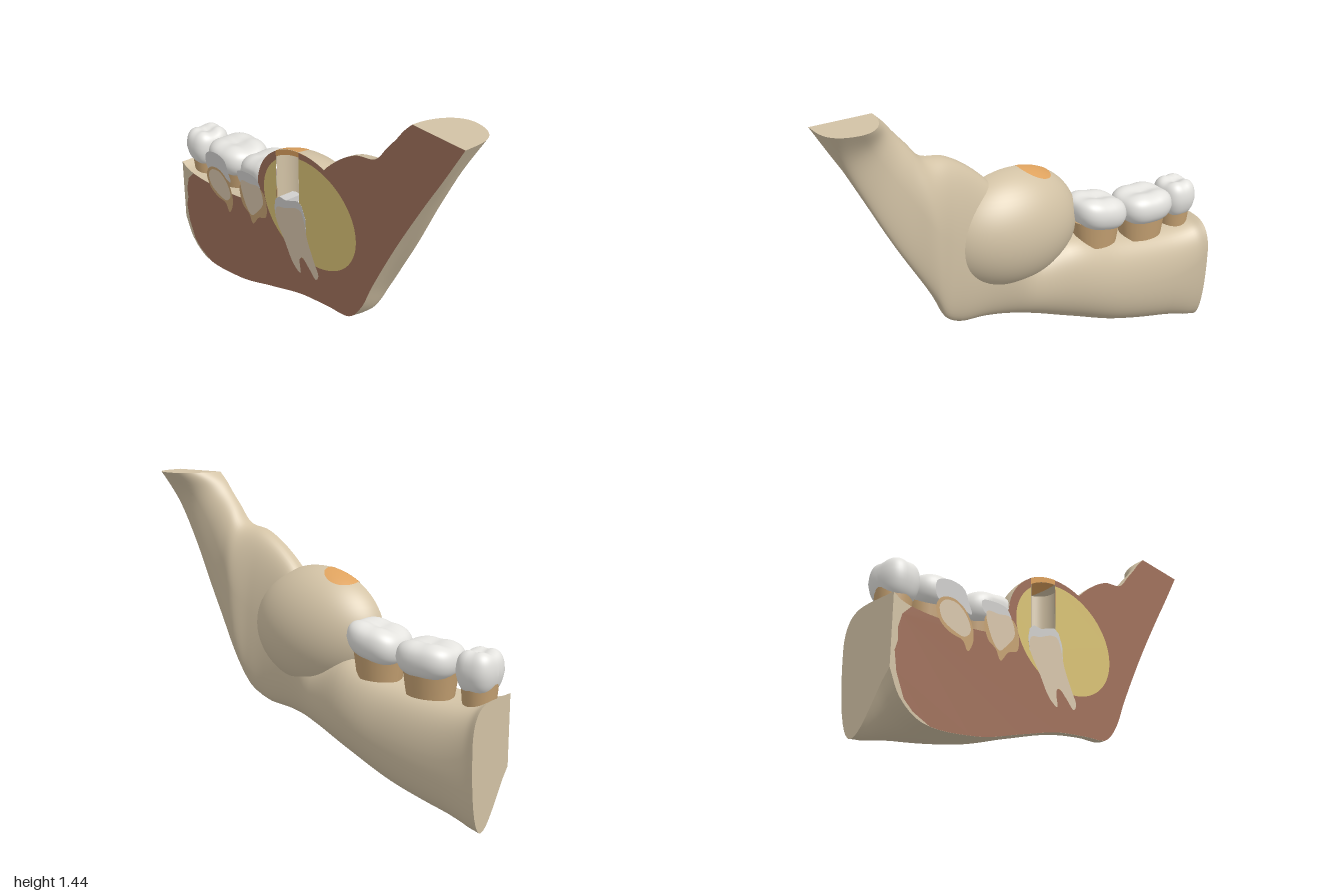
import * as THREE from 'three';

const mat = (name, color, side = THREE.FrontSide) => {
  const m = new THREE.MeshStandardMaterial({ color, side });
  m.name = name;
  return m;
};
const CUT = 0.147; // plane of the section

export function createModel() {
  const group = new THREE.Group();
  const bone = mat('bone', 0xd2c2a5, THREE.DoubleSide);
  const marrow = mat('cut bone', 0xa0715c);
  const cyst = mat('cyst yellow', 0xdac376);
  const enamel = mat('enamel', 0xe4e3df);
  const cutEnamel = mat('cut enamel', 0xd0cfcd);
  const dentin = mat('dentin', 0xd8c6ac);
  const root = mat('root tan', 0xc6a273);
  const plug = mat('orange window', 0xdea25e, THREE.DoubleSide);

  const add = (name, geo, m, x = 0, y = 0, z = 0) => {
    const mesh = new THREE.Mesh(geo, m);
    mesh.name = name;
    mesh.position.set(x, y, z);
    group.add(mesh);
    return mesh;
  };
  const polygon = (pts) => new THREE.Shape(pts.map((p) => new THREE.Vector2(p[0], p[1])));
  const plate = (name, pts, m, z) => add(name, new THREE.ShapeGeometry(polygon(pts)), m, 0, 0, z);
  const smoothPlate = (name, pts, m, z) => {
    const c = new THREE.CatmullRomCurve3(pts.map((p) => new THREE.Vector3(p[0], p[1], 0)), true);
    return plate(name, c.getPoints(pts.length * 5).map((p) => [p.x, p.y]), m, z);
  };

  // Jaw bone: D-shaped sections; lower x, y, upper x, y, back z, lower overhang
  const stations = [
    [-1, 0.25, -1, 0.58, -0.15, 0.29],
    [-0.94, 0.14, -0.94, 0.555, -0.14, 0.18],
    [-0.82, 0.07, -0.8, 0.55, -0.13, 0.08],
    [-0.5, 0.1, -0.5, 0.585, -0.115, 0.03],
    [-0.25, 0.18, -0.24, 0.65, -0.1, 0.01],
    [0, 0.26, -0.03, 0.62, -0.035, 0],
    [0.2, 0.295, 0.12, 0.95, 0.01, 0],
    [0.35, 0.32, 0.24, 1.08, 0.02, 0.02],
    [0.43, 0.41, 0.38, 1.17, 0.01, 0.08],
    [0.5, 0.56, 0.5, 1.2, -0.01, 0.1],
    [0.64, 0.83, 0.57, 1.28, 0.02, 0.1],
    [0.79, 1.09, 0.63, 1.35, 0.035, 0.05],
    [0.9, 1.27, 0.665, 1.395, 0.015, 0.02],
    [1, 1.44, 0.71, 1.44, -0.06, 0],
  ];
  const curve = (f) => new THREE.CatmullRomCurve3(stations.map((s) => new THREE.Vector3(...f(s))));
  const N = 78, M = 36;
  const lower = curve((s) => [s[0], s[1], s[4]]).getPoints(N);
  const upper = curve((s) => [s[2], s[3], s[5]]).getPoints(N);
  const pos = [], idx = [];
  for (let i = 0; i <= N; i++) {
    const L = lower[i], U = upper[i];
    const mx = (L.x + U.x) / 2, my = (L.y + U.y) / 2;
    const dx = L.x - mx, dy = L.y - my, half = Math.hypot(dx, dy);
    // Squarer ridge under the teeth, squarer rear edge up the ramus
    const lowExp = THREE.MathUtils.lerp(0.8, 0.5, i / N), topExp = THREE.MathUtils.lerp(0.32, 1, i / N);
    for (let j = 0; j <= M; j++) {
      const t = (j / M) * Math.PI, isLow = t < Math.PI / 2;
      const k = Math.cos(t) + (isLow ? (U.z * Math.sin(2 * t)) / half : 0);
      const depth = (CUT - L.z) * Math.pow(Math.max(0, Math.sin(t)), isLow ? lowExp : topExp);
      pos.push(mx + dx * k, my + dy * k, CUT - depth);
      if (i < N && j < M) {
        const a = i * (M + 1) + j, b = a + M + 1;
        idx.push(a, a + 1, b, b, a + 1, b + 1);
      }
    }
  }
  const surface = (p, index) => {
    const g = new THREE.BufferGeometry();
    g.setAttribute('position', new THREE.Float32BufferAttribute(p, 3));
    g.setIndex(index);
    g.computeVertexNormals();
    return g;
  };
  add('jawBone', surface(pos, idx), bone);
  // Flat ends of the bone, fanned from the middle of the section
  for (const [name, i, flip] of [['frontEnd', 0, true], ['ramusTop', N, false]]) {
    const ring = pos.slice(i * (M + 1) * 3, (i + 1) * (M + 1) * 3), fan = [];
    ring.push((lower[i].x + upper[i].x) / 2, (lower[i].y + upper[i].y) / 2, CUT);
    for (let j = 0; j < M; j++) fan.push(M + 1, flip ? j + 1 : j, flip ? j : j + 1);
    add(name, surface(ring, fan), bone);
  }
  // Section face with a rim of outer bone at the front end
  const xy = (p) => [p.x, p.y];
  plate('boneRim', [...lower.map(xy), ...upper.map(xy).reverse()], bone, CUT);
  plate('cutFace', [
    ...lower.filter((p) => p.x > -0.8).map(xy),
    ...upper.filter((p) => p.x > -0.92).map(xy).reverse(),
    [-0.95, 0.5], [-0.97, 0.43], [-0.965, 0.38], [-0.98, 0.33], [-0.965, 0.24], [-0.92, 0.14], [-0.87, 0.1],
  ], marrow, CUT + 0.001);

  // Bulging dome around the cyst
  const D = { x: 0.04, y: 0.73, rx: 0.37, ry: 0.3, rz: 0.24 };
  const dome = new THREE.SphereGeometry(1, 48, 32, Math.PI, Math.PI);
  add('cystDome', dome, bone, D.x, D.y, CUT).scale.set(D.rx, D.ry, D.rz);

  // Section ellipses, notched for the bore
  const x0 = -0.18, x1 = -0.01, floor = 0.68, bx = (x0 + x1) / 2, br = (x1 - x0) / 2, bz = 0.125;
  const notched = (name, cx, cy, rx, ry, m, z) => {
    const s = new THREE.Shape();
    s.absellipse(cx, cy, rx, ry, Math.acos((x1 - cx) / rx), Math.acos((x0 - cx) / rx), true);
    s.lineTo(x0, floor);
    s.lineTo(x1, floor);
    add(name, new THREE.ShapeGeometry(s, 64), m, 0, 0, z);
  };
  notched('domeWall', D.x, D.y, D.rx, D.ry, marrow, CUT + 0.001);
  notched('cystFilling', 0.055, 0.735, 0.335, 0.265, cyst, CUT + 0.002);
  const open = Math.acos((CUT - bz) / br);
  const bore = new THREE.CylinderGeometry(br, br, 0.28, 32, 1, true, open, 2 * (Math.PI - open));
  add('bore', bore, bone, bx, floor + 0.14, bz);

  // Orange window closing the bore: caps on the dome and a cut strip
  const onDome = (x, z, k) => D.y + k * D.ry * Math.sqrt(Math.max(0, 1 - ((x - D.x) / (k * D.rx)) ** 2 - ((z - CUT) / (k * D.rz)) ** 2));
  for (const [name, k] of [['windowOuter', 1.006], ['windowInner', 0.92]]) {
    const cap = new THREE.RingGeometry(0.0001, br, 40, 8);
    const p = cap.attributes.position;
    for (let i = 0; i < p.count; i++) {
      const x = bx + p.getX(i), z = Math.min(CUT, bz + p.getY(i));
      p.setXYZ(i, x, onDome(x, z, k), z);
    }
    cap.computeVertexNormals();
    add(name, cap, plug);
  }
  const strip = [];
  for (let i = 0; i <= 12; i++) {
    const x = x0 + ((x1 - x0) * i) / 12;
    strip.push([x, onDome(x, CUT, 1.004)]);
    strip.unshift([x, onDome(x, CUT, 0.92)]);
  }
  plate('windowEdge', strip, plug, CUT + 0.002);

  // Buried tooth: enamel crown with a dentin core and two roots
  const crown = new THREE.ExtrudeGeometry(polygon([
    [-0.19, 0.6], [-0.2, 0.66], [-0.19, 0.71], [-0.16, 0.735], [-0.11, 0.735], [-0.06, 0.755],
    [-0.02, 0.77], [0.01, 0.755], [0.035, 0.7], [0.04, 0.62]]), { depth: 0.09, bevelEnabled: false });
  add('buriedCrown', crown, cutEnamel, 0, 0, CUT - 0.0875);
  smoothPlate('buriedDentin', [
    [-0.19, 0.61], [-0.18, 0.67], [-0.12, 0.69], [-0.04, 0.725], [0.0, 0.725], [0.025, 0.68], [0.05, 0.59],
    [0.1, 0.49], [0.13, 0.43], [0.11, 0.4], [0.06, 0.44], [0.01, 0.475], [-0.01, 0.455], [-0.005, 0.38],
    [-0.06, 0.41], [-0.12, 0.5]], dentin, CUT + 0.003);

  // Rooted teeth: rounded box crowns with grooves, flattened at the section
  const tooth = (name, x, y, z, w, h, d, tilt, taper) => {
    const g = new THREE.SphereGeometry(1, 48, 36), p = g.attributes.position;
    const soft = (v, e) => Math.sign(v) * Math.pow(Math.abs(v), e);
    for (let i = 0; i < p.count; i++) {
      const a = soft(p.getX(i), 0.72), c = soft(p.getZ(i), 0.75);
      let b = soft(p.getY(i), 0.6);
      const k = b < 0 ? 1 + taper * b : 1 - 0.06 * b;
      const groove = 0.22 * Math.exp(-((c / 0.35) ** 2)) + 0.07 * Math.exp(-((a / 0.25) ** 2));
      if (b > 0) b -= b * groove * Math.max(0, 1 - a * a * 0.7);
      p.setXYZ(i, x + (a * k * w) / 2, y + (b * h) / 2 + tilt * a, Math.min(CUT, z + (c * k * d) / 2));
    }
    g.computeVertexNormals();
    add(name + 'Crown', g, enamel);
    // Tapered neck reaching into the bone
    const neck = new THREE.CylinderGeometry(0.5, 0.42, 0.14, 28);
    neck.scale(w * (1 - taper * 0.5), 1, d * 0.78);
    add(name + 'Neck', neck, root, x, y - h / 2 - 0.01, z);
  };
  tooth('premolar', -0.91, 0.685, 0.04, 0.185, 0.21, 0.21, 0, 0.2);
  tooth('firstMolar', -0.675, 0.71, 0.015, 0.295, 0.175, 0.265, 0.004, 0.14);
  tooth('secondMolar', -0.395, 0.745, 0.02, 0.285, 0.18, 0.265, 0.025, 0.14);

  // Cut faces of the molars and their roots
  smoothPlate('firstMolarCut', [[-0.77, 0.72], [-0.7, 0.755], [-0.61, 0.745], [-0.58, 0.69], [-0.56, 0.64],
    [-0.65, 0.655], [-0.76, 0.645]], cutEnamel, CUT + 0.002);
  smoothPlate('firstMolarRoot', [[-0.77, 0.6], [-0.74, 0.655], [-0.66, 0.675], [-0.59, 0.64], [-0.55, 0.57],
    [-0.55, 0.51], [-0.58, 0.46], [-0.61, 0.5], [-0.68, 0.51], [-0.74, 0.54]], root, CUT + 0.0025);
  smoothPlate('firstMolarDentin', [[-0.75, 0.61], [-0.72, 0.65], [-0.65, 0.66], [-0.59, 0.62], [-0.565, 0.56],
    [-0.6, 0.52], [-0.66, 0.525], [-0.73, 0.555]], dentin, CUT + 0.003);
  smoothPlate('secondMolarCut', [[-0.5, 0.73], [-0.42, 0.755], [-0.34, 0.75], [-0.31, 0.7], [-0.38, 0.69],
    [-0.48, 0.68]], cutEnamel, CUT + 0.002);
  smoothPlate('secondMolarRoot', [[-0.48, 0.66], [-0.4, 0.7], [-0.31, 0.71], [-0.27, 0.67], [-0.27, 0.57],
    [-0.33, 0.54], [-0.38, 0.485], [-0.41, 0.53], [-0.46, 0.56]], root, CUT + 0.0025);
  smoothPlate('secondMolarDentin', [[-0.47, 0.69], [-0.39, 0.705], [-0.32, 0.715], [-0.29, 0.64], [-0.34, 0.57],
    [-0.39, 0.53], [-0.44, 0.58]], dentin, CUT + 0.003);
  return group;
}
